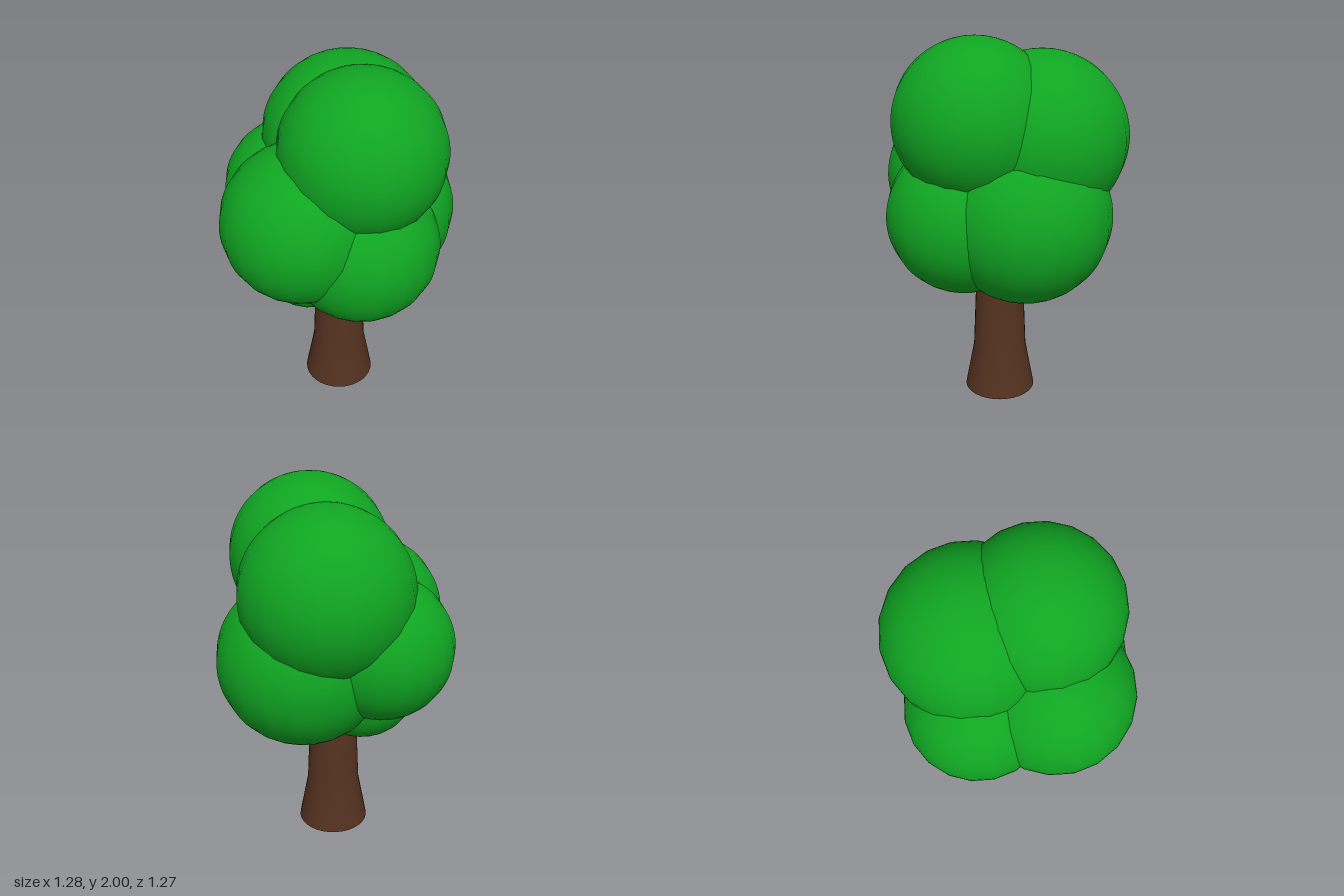
import * as THREE from 'three';

export function createModel() {
  const tree = new THREE.Group();
  tree.name = 'tree';
  const leafMaterial = new THREE.MeshStandardMaterial({ color: 0x10a522 });
  const barkMaterial = new THREE.MeshStandardMaterial({ color: 0x553220 });

  // Trunk: flared foot, narrowing up into the crown
  const profile = [[0, 0], [0.194, 0], [0.194, 0], [0.146, 0.26], [0.132, 0.6], [0.125, 0.95], [0, 0.95]];
  const trunk = new THREE.Mesh(
    new THREE.LatheGeometry(profile.map(([r, y]) => new THREE.Vector2(r, y)), 32),
    barkMaterial
  );
  trunk.name = 'trunk';
  trunk.position.set(-0.003, 0, 0.02);
  tree.add(trunk);

  // Crown: overlapping balls of foliage [name, x, y, z, radius]
  const crown = new THREE.Group();
  crown.name = 'crown';
  const balls = [
    ['topFrontFoliage', 0.083, 1.575, 0.163, 0.425],
    ['topBackFoliage', 0.085, 1.475, -0.185, 0.45],
    ['rightFoliage', -0.23, 1.215, 0.175, 0.415],
    ['frontFoliage', 0.068, 1.07, 0.222, 0.41],
    ['leftFoliage', 0.185, 1.085, -0.075, 0.455],
    ['backRightFoliage', -0.195, 1.17, -0.22, 0.38],
    ['lowerFoliage', -0.155, 0.88, -0.01, 0.315],
  ];
  const ball = new THREE.SphereGeometry(1, 20, 32);
  for (const [name, x, y, z, radius] of balls) {
    const foliage = new THREE.Mesh(ball, leafMaterial);
    foliage.name = name;
    foliage.position.set(x, y, z);
    foliage.scale.setScalar(radius);
    crown.add(foliage);
  }
  tree.add(crown);
  return tree;
}
